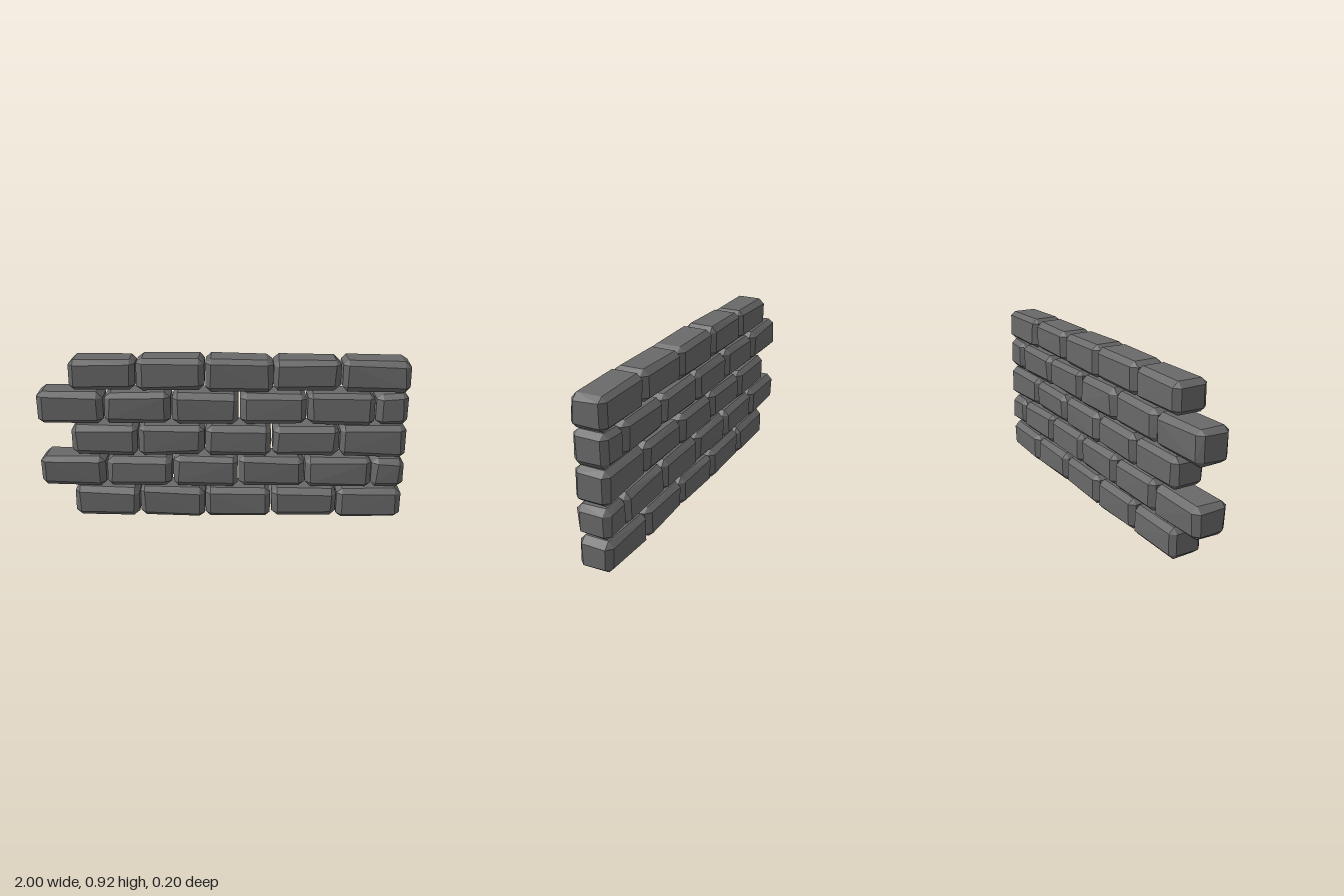
import * as THREE from 'three';
import { ConvexGeometry } from 'three/addons/geometries/ConvexGeometry.js';

const COURSES = 5;
const COURSE_HEIGHT = 0.184;
const BRICK_LENGTH = 0.364;
const HALF_DEPTH = 0.098;

// Repeatable small irregularities
function seeded(seed) {
  return () => {
    seed = (seed * 16807) % 2147483647;
    return seed / 2147483647;
  };
}

// Hewn block: every corner of a slightly skewed box is cut by three points
function brickGeometry(x0, x1, y0, y1, rand) {
  const points = [];
  for (const sx of [-1, 1]) {
    const x = (sx < 0 ? x0 : x1) - sx * rand() * 0.006;
    for (const sy of [-1, 1]) {
      const y = (sy < 0 ? y0 : y1) - sy * rand() * 0.012;
      for (const sz of [-1, 1]) {
        const z = sz * (HALF_DEPTH - rand() * 0.008);
        const cx = 0.024 + rand() * 0.012;
        const cy = 0.022 + rand() * 0.011;
        const cz = 0.026 + rand() * 0.006;
        points.push(
          new THREE.Vector3(x, y - sy * cy, z - sz * cz),
          new THREE.Vector3(x - sx * cx, y, z - sz * cz),
          new THREE.Vector3(x - sx * cx, y - sy * cy, z),
        );
      }
    }
  }
  return new ConvexGeometry(points);
}

export function createModel() {
  const wall = new THREE.Group();
  wall.name = 'brickWall';
  const stone = new THREE.MeshStandardMaterial({ color: 0x696969 });
  stone.name = 'grey stone';
  const rand = seeded(4217);

  // Staggered courses: odd ones reach further right and close with a half brick
  for (let r = 0; r < COURSES; r++) {
    const course = new THREE.Group();
    course.name = `course${r + 1}`;
    const shifted = r % 2 === 1;
    const start = shifted ? -1 : -0.82;
    const y = r * COURSE_HEIGHT;
    for (let i = 0; i < (shifted ? 6 : 5); i++) {
      const x0 = start + i * BRICK_LENGTH;
      const x1 = Math.min(x0 + BRICK_LENGTH, 1);
      const brick = new THREE.Mesh(brickGeometry(x0, x1, y, y + COURSE_HEIGHT, rand), stone);
      brick.name = i === 5 ? 'halfBrick' : `brick${i + 1}`;
      course.add(brick);
    }
    wall.add(course);
  }
  return wall;
}
